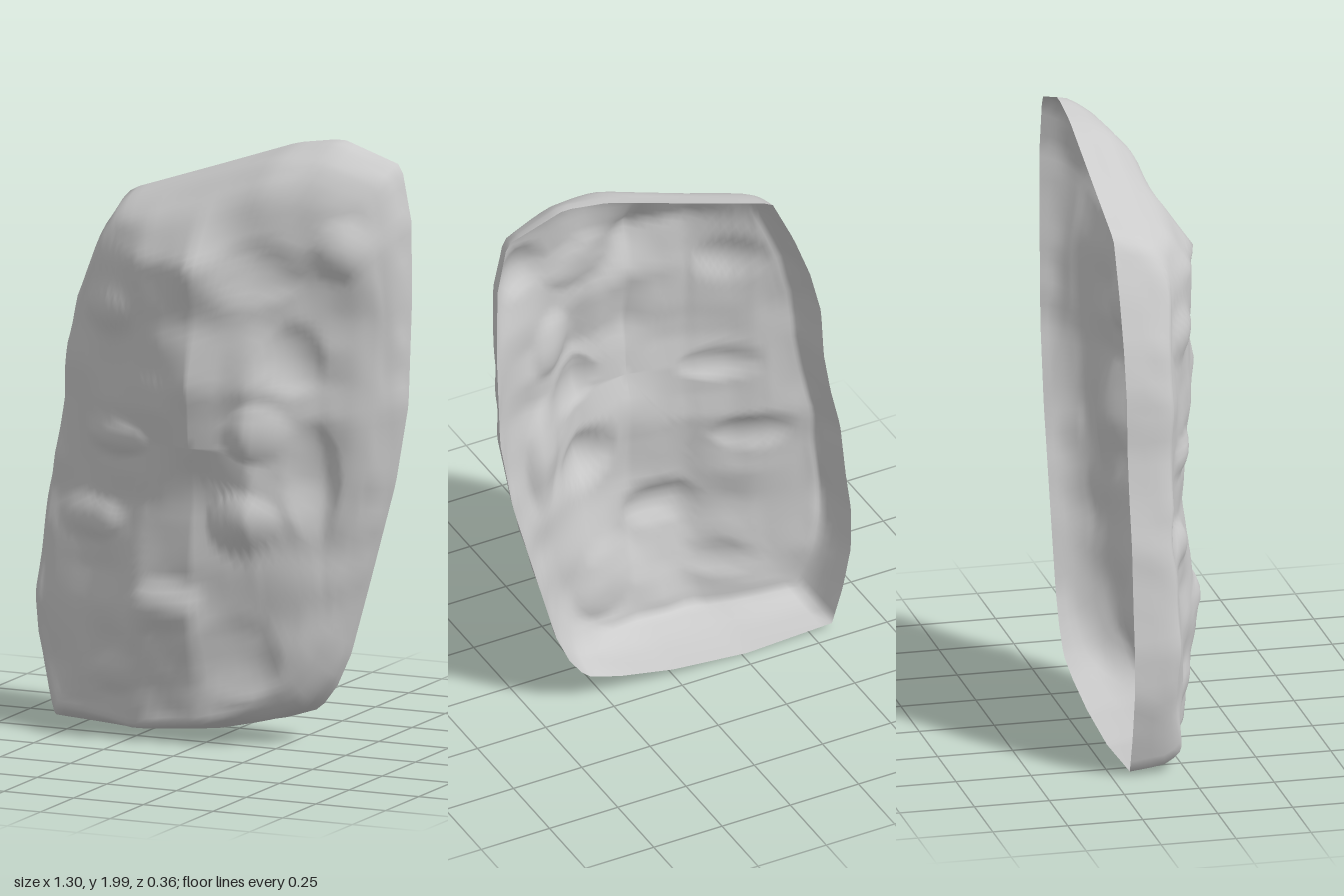
import * as THREE from 'three';

const BACK = -0.19;

// Rim outline, counter-clockwise seen from the front
const OUTLINE = [
  [-0.58, 0.02], [-0.27, 0.005], [0, 0.03], [0.2, 0.07], [0.32, 0.11], [0.38, 0.19], [0.43, 0.3],
  [0.5, 0.55], [0.59, 0.88], [0.635, 1.14], [0.648, 1.5], [0.645, 1.75], [0.61, 1.93], [0.4, 2.0],
  [0.24, 1.975], [-0.05, 1.875], [-0.36, 1.77], [-0.44, 1.6], [-0.5, 1.44], [-0.54, 1.28],
  [-0.55, 1.1], [-0.575, 0.95], [-0.61, 0.8], [-0.63, 0.6], [-0.65, 0.45], [-0.65, 0.3], [-0.62, 0.15],
];

// Relief of the front face: rows y = 0 ... 2, columns x = -0.6 ... 0.6, both every 0.2
const RELIEF = [
  [-0.03, 0.02, 0.07, 0.05, 0.00, -0.06, -0.10],
  [-0.03, 0.03, 0.09, 0.07, 0.01, -0.05, -0.10],
  [-0.03, 0.03, 0.13, 0.12, 0.02, -0.04, -0.10],
  [-0.04, 0.02, 0.11, 0.13, 0.07, -0.04, -0.09],
  [-0.05, 0.00, 0.08, 0.10, 0.10, -0.03, -0.08],
  [-0.06, 0.01, 0.09, 0.13, 0.12, -0.01, -0.08],
  [-0.06, 0.01, 0.11, 0.16, 0.13, 0.00, -0.08],
  [-0.07, 0.00, 0.10, 0.12, 0.08, 0.00, -0.07],
  [-0.08, -0.01, 0.11, 0.16, 0.07, 0.02, -0.05],
  [-0.09, -0.06, 0.00, 0.03, 0.03, 0.00, -0.05],
  [-0.10, -0.08, -0.06, -0.05, -0.03, -0.03, -0.06],
];

// Crags and hollows: x, y, radius x, radius y, height
const CRAGS = [
  [-0.1, 0.47, 0.14, 0.08, 0.035], [0.17, 0.76, 0.12, 0.1, 0.04], [0.13, 0.3, 0.14, 0.14, -0.03],
  [0.22, 1.06, 0.1, 0.1, 0.03], [0.38, 0.9, 0.08, 0.2, -0.03], [0.33, 1.3, 0.09, 0.12, -0.03],
  [0.2, 1.58, 0.16, 0.1, -0.03], [0.48, 1.67, 0.1, 0.1, 0.03], [-0.3, 1.0, 0.14, 0.06, 0.025],
  [-0.33, 1.42, 0.12, 0.08, 0.03], [-0.4, 0.72, 0.14, 0.07, 0.025], [-0.3, 0.22, 0.1, 0.07, 0.02],
];

const { clamp, lerp, smoothstep } = THREE.MathUtils;

function blend(sample, x, y) {
  const i = Math.floor(x), j = Math.floor(y);
  const u = x - i, v = y - j;
  return lerp(lerp(sample(i, j), sample(i + 1, j), u), lerp(sample(i, j + 1), sample(i + 1, j + 1), u), v);
}

function hash(i, j) {
  const s = Math.sin(i * 127.1 + j * 311.7) * 43758.5453;
  return (s - Math.floor(s)) * 2 - 1;
}

function surface(x, y) {
  let z = blend((i, j) => RELIEF[clamp(j, 0, 10)][clamp(i, 0, 6)], (x + 0.6) / 0.2, y / 0.2);
  for (const [cx, cy, rx, ry, h] of CRAGS) {
    z += h * Math.max(0, 1 - Math.hypot((x - cx) / rx, (y - cy) / ry) ** 2);
  }
  return z + 0.011 * blend(hash, x * 9 + 20, y * 9);
}

// Steep wall on the left and bottom, soft shoulder on the right and top
function wallWidth(x, y) {
  return 0.05 + Math.max(0.17 * smoothstep(x, 0.1, 0.45), 0.12 * smoothstep(y, 1.65, 1.85));
}

function rockShell() {
  const around = 144, inward = 36;
  const rim = new THREE.Shape(OUTLINE.map(([x, y]) => new THREE.Vector2(x, y))).closePath()
    .getSpacedPoints(around);

  const positions = [], indices = [];
  for (let r = 0; r < inward; r++) {
    const inset = (r / inward) ** 1.5;
    for (let j = 0; j < around; j++) {
      const edge = rim[j];
      const x = edge.x * (1 - inset);
      const y = 1 + (edge.y - 1) * (1 - inset);
      const rest = 1 - Math.min(1, inset / wallWidth(edge.x, edge.y));
      const z = lerp(BACK, surface(x, y), Math.sqrt(1 - rest * rest));
      // Chipped side walls
      const chip = r > 0 && inset < 0.1 ? 0.996 + 0.008 * blend(hash, z * 14 + 40, y * 12) : 1;
      positions.push(x * chip, Math.max(0, 1 + (y - 1) * chip), z);
    }
  }
  const centre = positions.length / 3;
  positions.push(0, 1, surface(0, 1));

  for (let r = 0; r < inward; r++) {
    for (let j = 0; j < around; j++) {
      const a = r * around + j, b = r * around + (j + 1) % around;
      if (r === inward - 1) indices.push(a, b, centre);
      else indices.push(a, b, b + around, a, b + around, a + around);
    }
  }
  const geometry = new THREE.BufferGeometry();
  geometry.setAttribute('position', new THREE.Float32BufferAttribute(positions, 3));
  geometry.setIndex(indices);
  geometry.computeVertexNormals();
  return geometry;
}

export function createModel() {
  const group = new THREE.Group();
  group.name = 'rockFace';
  // Hollow shell, open at the flat back
  const rock = new THREE.Mesh(rockShell(),
    new THREE.MeshStandardMaterial({ color: 0xcccccc, side: THREE.DoubleSide }));
  rock.name = 'rockShell';
  group.add(rock);
  return group;
}
